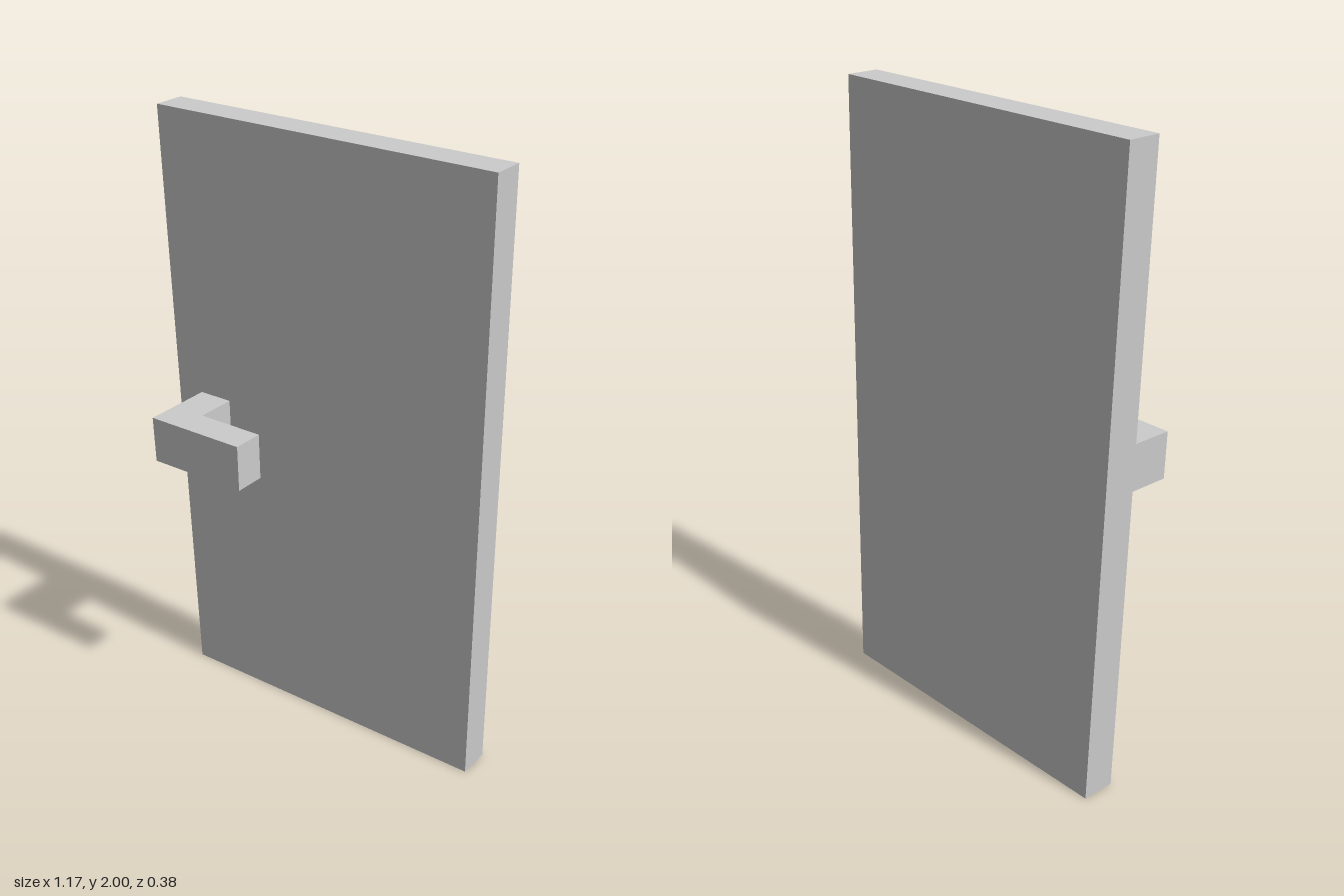
import * as THREE from 'three';

const LEAN = 0.031; // forward lean in z per unit of height

// Move every vertex by a rule, then refresh the normals
function reshape(geometry, rule) {
  const p = geometry.attributes.position;
  const v = new THREE.Vector3();
  for (let i = 0; i < p.count; i++) {
    rule(v.fromBufferAttribute(p, i));
    p.setXYZ(i, v.x, v.y, v.z);
  }
  geometry.computeVertexNormals();
  return geometry;
}

export function createModel() {
  const model = new THREE.Group();
  const material = new THREE.MeshStandardMaterial({ color: 0xcccccc, flatShading: true });

  // Leaning door panel, a little wider at the top
  const panel = reshape(new THREE.BoxGeometry(1, 2, 0.108), (v) => {
    const t = (v.y + 1) / 2;
    const left = THREE.MathUtils.lerp(-0.548, -0.588, t);
    const right = THREE.MathUtils.lerp(0.556, 0.586, t);
    v.x = v.x < 0 ? left : right;
    v.z += -0.105 + LEAN * v.y;
    v.y += 1;
  });
  const door = new THREE.Mesh(panel, material);
  door.name = 'doorPanel';
  model.add(door);

  // L-shaped handle: outline in x and -z, extruded upwards
  const outline = new THREE.Shape([
    [-0.474, 0.055], [-0.474, -0.188], [-0.136, -0.188],
    [-0.136, -0.083], [-0.361, -0.083], [-0.361, 0.055],
  ].map(([x, y]) => new THREE.Vector2(x, y)));
  const bar = new THREE.ExtrudeGeometry(outline, { depth: 0.152, bevelEnabled: false });
  bar.rotateX(-Math.PI / 2).translate(0, 0.921, 0);
  reshape(bar, (v) => {
    v.z += LEAN * (v.y - 1);
    if (v.x < -0.45) v.x -= 0.02 * (v.y - 1);
  });
  const handle = new THREE.Mesh(bar, material);
  handle.name = 'handle';
  model.add(handle);

  return model;
}
